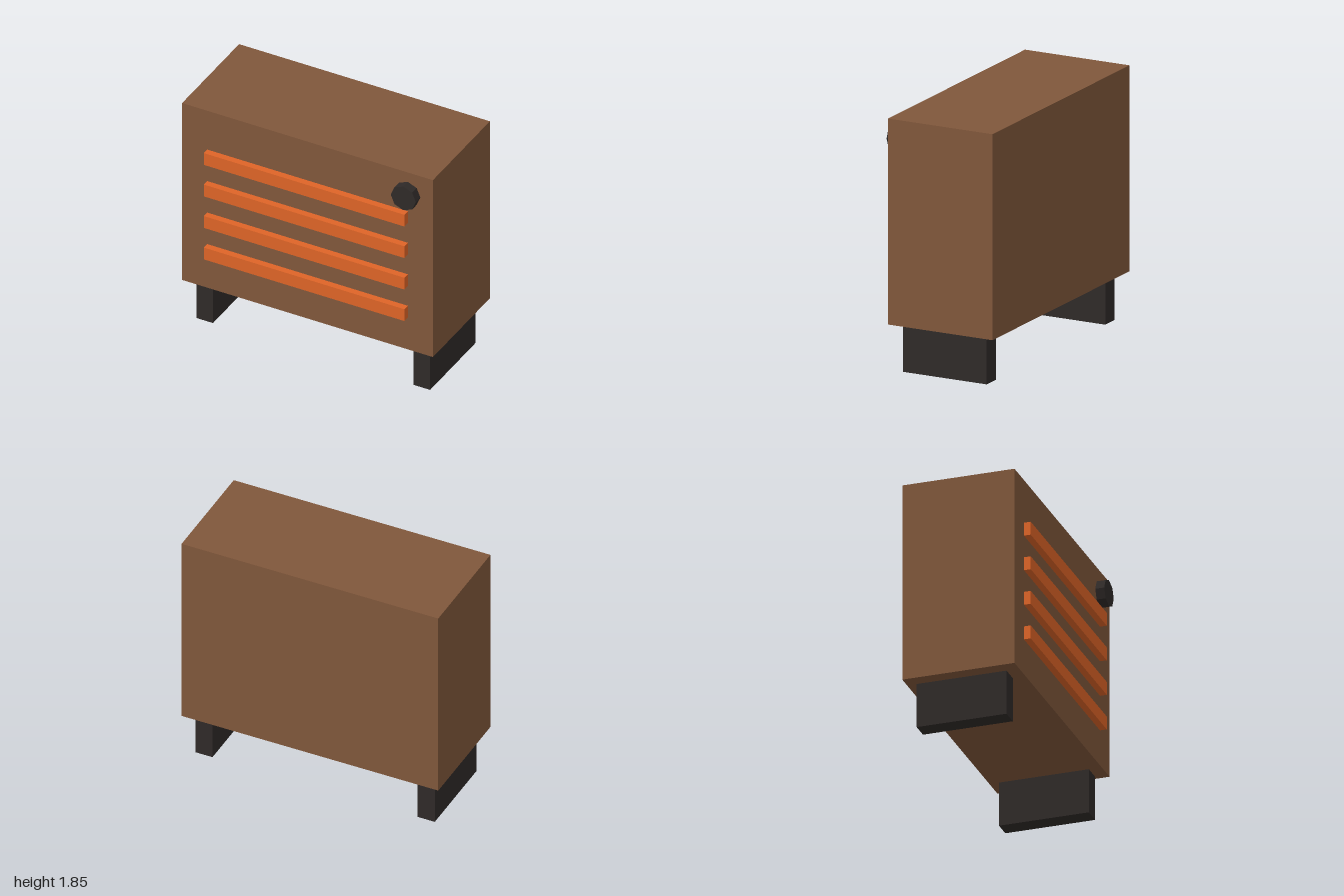
import * as THREE from 'three';

const material = (color) => new THREE.MeshStandardMaterial({ color, flatShading: true });

export function createModel() {
  const model = new THREE.Group();
  model.name = 'heater';
  const brown = material(0x80573b);
  const orange = material(0xde6427);
  const dark = material(0x2f2a28);

  const add = (name, geometry, mat, x, y, z) => {
    const mesh = new THREE.Mesh(geometry, mat);
    mesh.name = name;
    mesh.position.set(x, y, z);
    model.add(mesh);
    return mesh;
  };

  // Cabinet: front face at z = 0.383, back at z = -0.45
  add('body', new THREE.BoxGeometry(2, 1.5, 0.833), brown, 0, 1.1, -0.033);

  // Four heating bars standing proud of the front
  const bar = new THREE.BoxGeometry(1.6, 0.1, 0.067);
  for (let i = 0; i < 4; i++) {
    add(`heatingBar${i + 1}`, bar, orange, 0, 0.67 + i * 0.267, 0.4);
  }

  // Octagonal control knob
  const knob = new THREE.CylinderGeometry(0.1, 0.1, 0.067, 8).rotateX(Math.PI / 2);
  add('knob', knob, dark, 0.8, 1.67, 0.4165);

  // Two plank feet, a narrow gap below the cabinet
  const foot = new THREE.BoxGeometry(0.133, 0.333, 0.667);
  add('leftFoot', foot, dark, 0.866, 0.1665, -0.033);
  add('rightFoot', foot, dark, -0.866, 0.1665, -0.033);

  return model;
}
